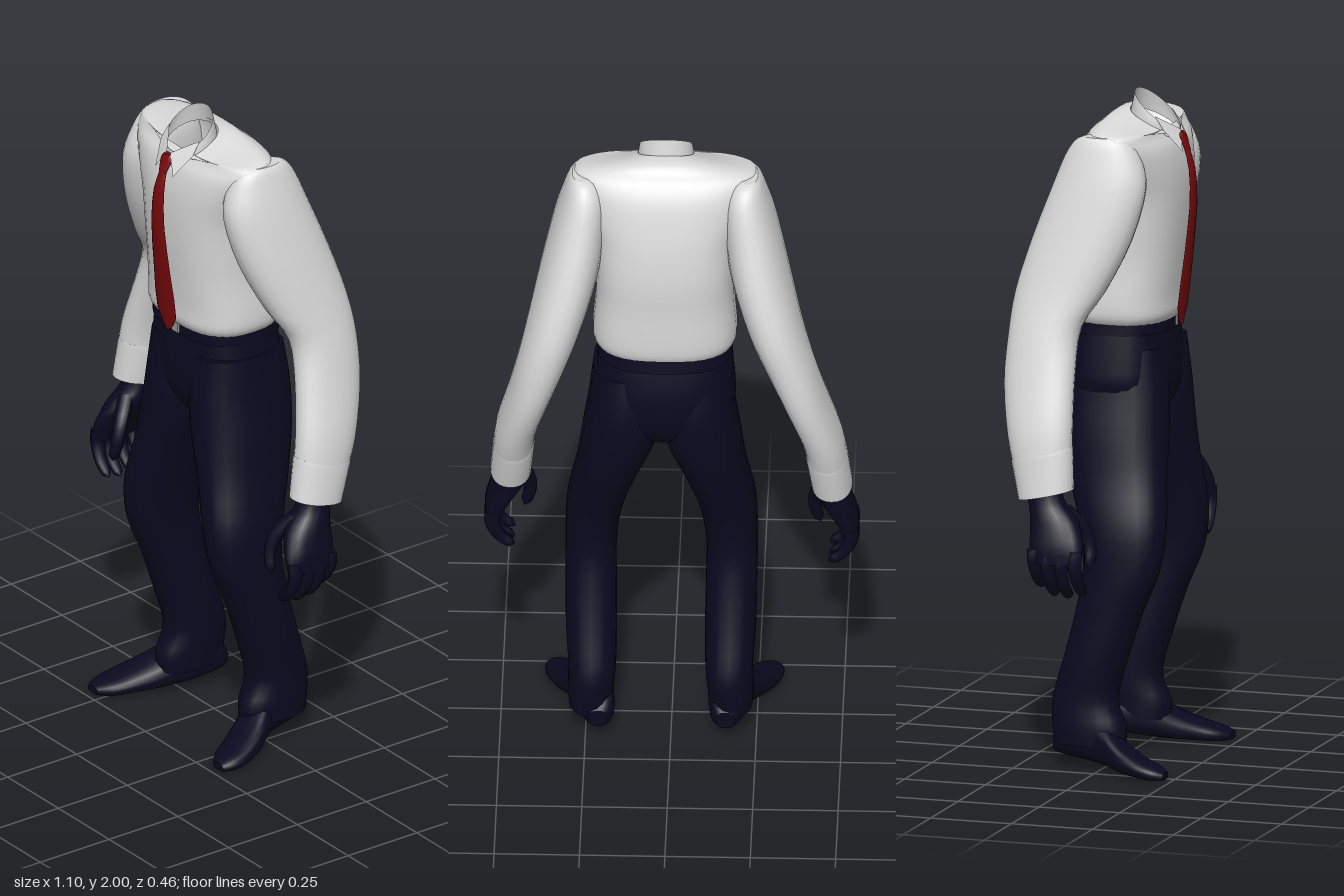
import * as THREE from 'three';

const shirt = new THREE.MeshStandardMaterial({ color: 0xd8d8d8, side: THREE.DoubleSide });
shirt.name = 'shirt white';
const navy = new THREE.MeshStandardMaterial({ color: 0x090920 });
navy.name = 'dark navy';
const red = new THREE.MeshStandardMaterial({ color: 0x78090c });
red.name = 'tie red';
const grey = new THREE.MeshStandardMaterial({ color: 0x9a9a9a });
grey.name = 'buckle grey';

const CX = 0.02; // body centre line
const clamp01 = (v) => Math.min(1, Math.max(0, v));

// Catmull-Rom blend of neighbouring sections
function refine(list, steps) {
  const out = [];
  for (let i = 0; i < list.length - 1; i++) {
    const [p, a, b, q] = [list[Math.max(i - 1, 0)], list[i], list[i + 1], list[Math.min(i + 2, list.length - 1)]];
    for (let k = 0; k < steps; k++) {
      const t = k / steps;
      out.push(a.map((v, j) => {
        const c1 = b[j] - p[j];
        const c2 = 2 * p[j] - 5 * v + 4 * b[j] - q[j];
        const c3 = 3 * (v - b[j]) + q[j] - p[j];
        return v + 0.5 * t * (c1 + t * (c2 + t * c3));
      }));
    }
  }
  out.push(list[list.length - 1]);
  return out;
}

// Skin over sections [y, xMin, xMax, zMin, zMax, tilt]; power sets how boxy the rings are
function loft(sections, { power = 2.3, sides = 24, steps = 3, top = true, bottom = true } = {}) {
  const full = sections.map((s) => [s[0], s[1], s[2], s[3], s[4], s[5] || 0]).sort((a, b) => a[0] - b[0]);
  const rings = refine(full, steps);
  const pos = [], idx = [];
  const bend = (v) => Math.sign(v) * Math.abs(v) ** (2 / power);
  const addRing = ([y, x0, x1, z0, z1, tilt]) => {
    const start = pos.length / 3;
    for (let i = 0; i < sides; i++) {
      const a = (i / sides) * Math.PI * 2;
      const dz = bend(Math.sin(a)) * (z1 - z0) / 2;
      pos.push((x0 + x1) / 2 + bend(Math.cos(a)) * (x1 - x0) / 2, y + tilt * dz, (z0 + z1) / 2 + dz);
    }
    return start;
  };
  const starts = rings.map(addRing);
  for (let r = 0; r < starts.length - 1; r++) {
    for (let i = 0; i < sides; i++) {
      const j = (i + 1) % sides, a = starts[r], c = starts[r + 1];
      idx.push(a + i, c + i, a + j, a + j, c + i, c + j);
    }
  }
  const cap = (s, up) => {
    const ring = addRing(s), mid = pos.length / 3;
    pos.push((s[1] + s[2]) / 2, s[0], (s[3] + s[4]) / 2);
    for (let i = 0; i < sides; i++) {
      const j = (i + 1) % sides;
      idx.push(mid, ring + (up ? j : i), ring + (up ? i : j));
    }
  };
  if (bottom) cap(rings[0], false);
  if (top) cap(rings[rings.length - 1], true);
  const g = new THREE.BufferGeometry();
  g.setAttribute('position', new THREE.Float32BufferAttribute(pos, 3));
  g.setIndex(idx);
  g.computeVertexNormals();
  return g;
}

// Tapered round-tipped finger along a curve
function finger(points, r) {
  const curve = new THREE.CatmullRomCurve3(points.map((p) => new THREE.Vector3(...p)));
  const n = 10, sides = 8;
  const g = new THREE.TubeGeometry(curve, n, r, sides);
  const p = g.attributes.position, v = new THREE.Vector3();
  for (let i = 0; i <= n; i++) {
    const c = curve.getPointAt(i / n), k = i === n ? 0.02 : 1 - 0.4 * (i / n) ** 2;
    for (let j = 0; j <= sides; j++) {
      const m = i * (sides + 1) + j;
      v.fromBufferAttribute(p, m).sub(c).multiplyScalar(k).add(c);
      p.setXYZ(m, v.x, v.y, v.z);
    }
  }
  g.computeVertexNormals();
  return g;
}

// Sections given as half widths about the centre line
const centred = (list) => list.map(([y, w, z0, z1, t]) => [y, CX - w, CX + w, z0, z1, t || 0]);

export function createModel() {
  const model = new THREE.Group();
  model.name = 'suitedFigure';
  const add = (name, geo, mat) => {
    const m = new THREE.Mesh(geo, mat);
    m.name = name;
    model.add(m);
    return m;
  };

  // Shirt body, open at the neck
  add('shirtBody', loft(centred([
    [1.325, 0.196, -0.135, 0.16], [1.35, 0.21, -0.147, 0.172], [1.4, 0.211, -0.15, 0.173],
    [1.5, 0.203, -0.148, 0.182], [1.6, 0.205, -0.148, 0.19], [1.7, 0.212, -0.135, 0.193],
    [1.78, 0.238, -0.115, 0.188], [1.85, 0.264, -0.09, 0.172, -0.03], [1.89, 0.272, -0.06, 0.148, -0.1],
    [1.908, 0.245, -0.035, 0.142, -0.15], [1.914, 0.16, -0.01, 0.155, -0.35], [1.915, 0.082, 0.03, 0.168, -0.5],
  ]), { power: 2.6, sides: 36, top: false, bottom: false }), shirt);

  // Collar stand and two folded points
  add('collar', loft(centred([
    [1.9, 0.083, 0.026, 0.172, -0.5], [1.925, 0.081, 0.034, 0.172, -0.68], [1.945, 0.077, 0.04, 0.17, -0.85],
  ]), { power: 2, sides: 28, top: false, bottom: false }), shirt);
  for (const s of [-1, 1]) {
    const g = new THREE.BufferGeometry();
    const corners = [[0.008, 1.888, 0.18], [0.074, 1.935, 0.122], [0.078, 1.895, 0.15], [0.043, 1.828, 0.197]];
    g.setAttribute('position', new THREE.Float32BufferAttribute(corners.flatMap(([x, y, z]) => [CX + s * x, y, z]), 3));
    g.setIndex(s > 0 ? [0, 2, 1, 0, 3, 2] : [0, 1, 2, 0, 2, 3]);
    g.computeVertexNormals();
    add('collarPoint', g, shirt);
  }

  // Tie: knot and blade
  const tieRow = ([y, w, z]) => [y, CX - 0.003 - w, CX - 0.003 + w, z - 0.008, z + 0.008];
  add('tieKnot', loft([[1.88, 0.016, 0.178], [1.865, 0.025, 0.185], [1.825, 0.014, 0.2]].map(tieRow), { sides: 12 }), red);
  add('tieBlade', loft([
    [1.835, 0.014, 0.195], [1.77, 0.025, 0.213], [1.66, 0.032, 0.217], [1.5, 0.041, 0.201],
    [1.36, 0.046, 0.184], [1.305, 0.003, 0.178],
  ].map(tieRow), { power: 1.5, sides: 12, steps: 2 }), red);

  // Hips, waistband and buckle
  add('hips', loft(centred([
    [1.335, 0.192, -0.13, 0.152], [1.22, 0.203, -0.15, 0.16], [1.12, 0.2, -0.148, 0.158],
    [1.04, 0.11, -0.118, 0.12], [0.99, 0.04, -0.05, 0.06],
  ]), { power: 2.6, sides: 32 }), navy);
  add('waistband', loft(centred([
    [1.295, 0.199, -0.147, 0.162], [1.337, 0.198, -0.142, 0.162],
  ]), { power: 2.6, sides: 32, steps: 1 }), navy);
  const buckle = add('buckle', new THREE.BoxGeometry(0.03, 0.03, 0.008), grey);
  buckle.position.set(CX + 0.012, 1.315, 0.163);

  for (const s of [-1, 1]) {
    const side = s > 0 ? 'left' : 'right';
    const flip = (list, c) => list.map(([y, a, b, z0, z1, t]) =>
      [y, c + (s > 0 ? a : -b), c + (s > 0 ? b : -a), z0, z1, t || 0]);

    // Trouser leg with a bent knee
    add(side + 'TrouserLeg', loft(flip([
      [1.25, 0.01, 0.194, -0.13, 0.15], [1.13, -0.01, 0.208, -0.15, 0.166], [1.0, 0.003, 0.228, -0.145, 0.172],
      [0.87, 0.055, 0.245, -0.115, 0.178], [0.73, 0.102, 0.272, -0.07, 0.19], [0.6, 0.125, 0.277, -0.055, 0.175],
      [0.47, 0.126, 0.276, -0.078, 0.122], [0.33, 0.124, 0.274, -0.115, 0.075], [0.21, 0.126, 0.266, -0.15, 0.045],
      [0.13, 0.132, 0.268, -0.15, 0.072], [0.075, 0.135, 0.265, -0.145, 0.07],
    ], s > 0 ? 0.036 : 0.027)), navy);

    // Shoe, skinned from heel to toe and laid forward
    const shoe = loft(flip([
      [-0.148, 0.155, 0.21, -0.1, -0.045], [-0.11, 0.135, 0.235, -0.14, -0.036], [0, 0.145, 0.262, -0.145, -0.022],
      [0.08, 0.18, 0.315, -0.092, -0.01], [0.15, 0.218, 0.342, -0.058, -0.003], [0.2, 0.245, 0.345, -0.042, 0],
      [0.232, 0.28, 0.33, -0.027, -0.004],
    ], s > 0 ? 0.03 : 0.022), { power: 2.6, sides: 20 });
    shoe.rotateX(Math.PI / 2);
    add(side + 'Shoe', shoe, navy);

    // Sleeve and cuff; the right forearm hangs a little further back
    const place = (list) => flip(list, 0).map(([y, a, b, z0, z1, t]) => {
      const dx = CX * clamp01((y - 0.9) / 0.6), dz = s > 0 ? 0 : -0.05 * clamp01((1.3 - y) / 0.4);
      return [y, a + dx, b + dx, z0 + dz, z1 + dz, t];
    });
    add(side + 'Sleeve', loft(place([
      [1.9, 0.215, 0.272, -0.04, 0.07], [1.885, 0.19, 0.284, -0.068, 0.1], [1.84, 0.17, 0.3, -0.098, 0.13],
      [1.75, 0.17, 0.327, -0.132, 0.152], [1.6, 0.192, 0.365, -0.183, 0.118], [1.45, 0.238, 0.402, -0.22, 0.05],
      [1.34, 0.285, 0.432, -0.228, -0.008, 0.1], [1.21, 0.338, 0.466, -0.215, 0, 0.2], [1.06, 0.388, 0.508, -0.168, 0.028, 0.22],
      [0.95, 0.402, 0.522, -0.125, 0.045, 0.22],
    ]), { power: 2.2 }), shirt);
    add(side + 'Cuff', loft(place([
      [1.0, 0.398, 0.516, -0.144, 0.038, 0.22], [0.985, 0.397, 0.52, -0.142, 0.042, 0.22], [0.875, 0.41, 0.531, -0.105, 0.06, 0.22],
    ]), { power: 2.2, steps: 1 }), shirt);

    // Hand: palm, four curled fingers and a thumb
    const dz = s > 0 ? 0 : -0.06;
    add(side + 'Palm', loft(flip([
      [0.93, 0.425, 0.51, -0.08, 0.03], [0.86, 0.425, 0.515, -0.065, 0.04], [0.8, 0.435, 0.532, -0.055, 0.09],
      [0.73, 0.478, 0.547, -0.05, 0.115], [0.68, 0.5, 0.547, -0.045, 0.112],
    ], 0).map(([y, a, b, z0, z1, t]) => [y, a, b, z0 + dz, z1 + dz, t]), { sides: 16 }), navy);
    const digit = (name, pts, r) => add(side + name, finger(pts.map(([x, y, z]) => [s * x, y, z + dz]), r), navy);
    for (let f = 0; f < 4; f++) {
      const z = 0.095 - f * 0.042, drop = [0.01, 0, 0.005, 0.03][f];
      digit('Finger', [[0.523, 0.72, z], [0.528, 0.66 + drop, z], [0.503, 0.605 + drop, z + 0.004], [0.46, 0.572 + drop, z + 0.006]], 0.022);
    }
    digit('Thumb', [[0.46, 0.83, 0.04], [0.425, 0.775, 0.085], [0.418, 0.71, 0.105], [0.435, 0.65, 0.11]], 0.024);
  }

  return model;
}
